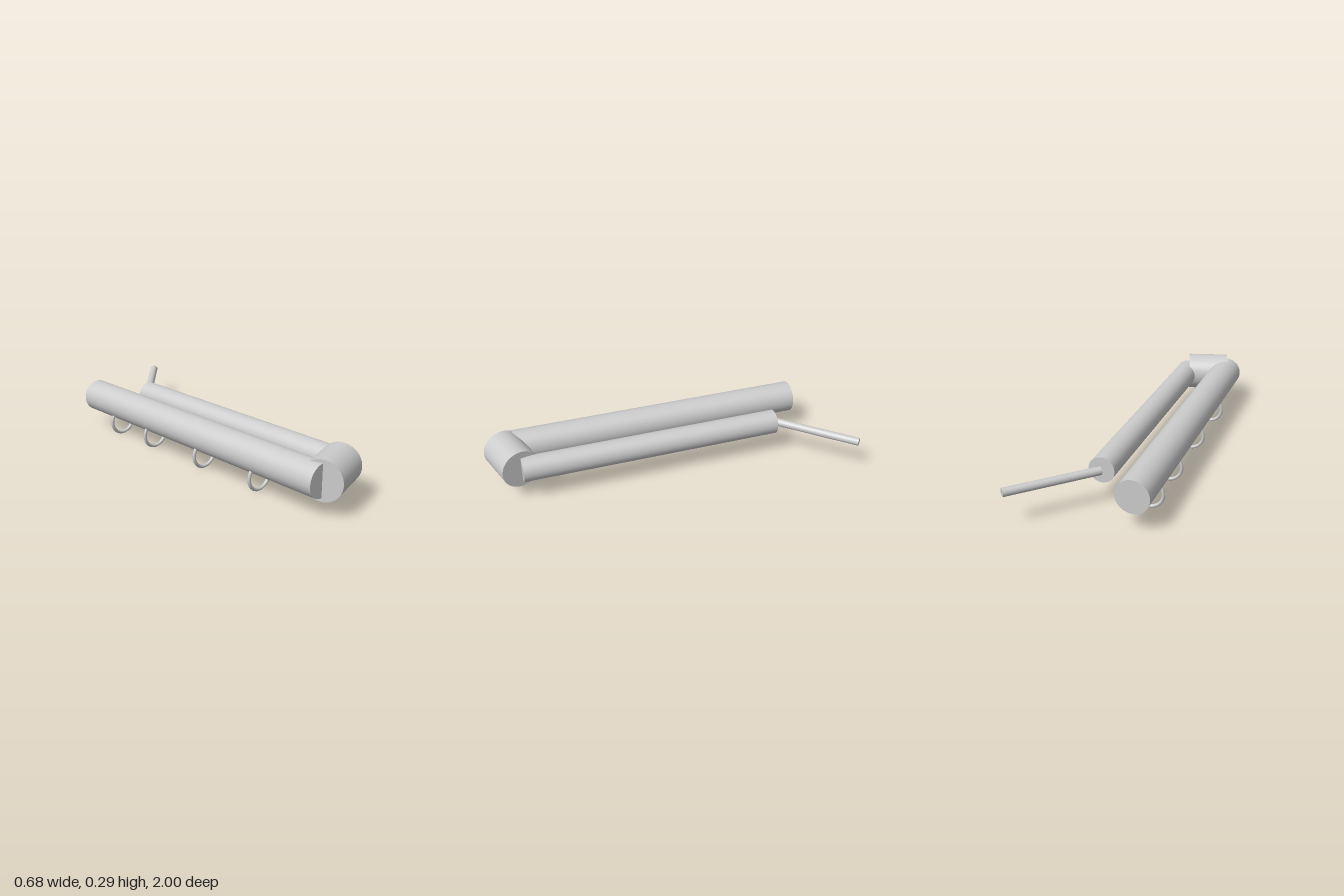
import * as THREE from 'three';

const AXIS_Y = 0.185;

export function createModel() {
  const group = new THREE.Group();
  const material = new THREE.MeshStandardMaterial({ color: 0xcccccc });

  const add = (name, geometry) => {
    const mesh = new THREE.Mesh(geometry, material);
    mesh.name = name;
    group.add(mesh);
    return mesh;
  };

  // Closed round bar between two points [x, z] at the shared axis height
  const bar = (name, radius, [x1, z1], [x2, z2], sides = 32) => {
    const a = new THREE.Vector3(x1, AXIS_Y, z1);
    const dir = new THREE.Vector3(x2, AXIS_Y, z2).sub(a);
    const mesh = add(name, new THREE.CylinderGeometry(radius, radius, dir.length(), sides));
    mesh.position.copy(a).addScaledVector(dir, 0.5);
    mesh.quaternion.setFromUnitVectors(new THREE.Vector3(0, 1, 0), dir.normalize());
    return mesh;
  };

  // Two parallel tubes
  bar('largeTube', 0.088, [-0.254, 0.895], [-0.254, -0.82]);
  bar('smallTube', 0.068, [-0.022, 0.827], [-0.022, -0.623]);

  // Thin rod angled off the back of the small tube
  bar('thinRod', 0.022, [-0.02, -0.63], [0.324, -0.984], 24);

  // Short drum joining the tubes at the front, turned slightly
  const angle = THREE.MathUtils.degToRad(16);
  const dx = 0.1185 * Math.cos(angle), dz = 0.1185 * Math.sin(angle);
  bar('hingeDrum', 0.107, [-0.141 - dx, 0.861 + dz], [-0.141 + dx, 0.861 - dz], 40);

  // Rings hanging below the large tube
  for (const z of [0.505, 0.11, -0.29, -0.585]) {
    const ring = add('ring', new THREE.TorusGeometry(0.0735, 0.009, 12, 40));
    ring.position.set(-0.254, 0.085, z);
  }

  return group;
}
